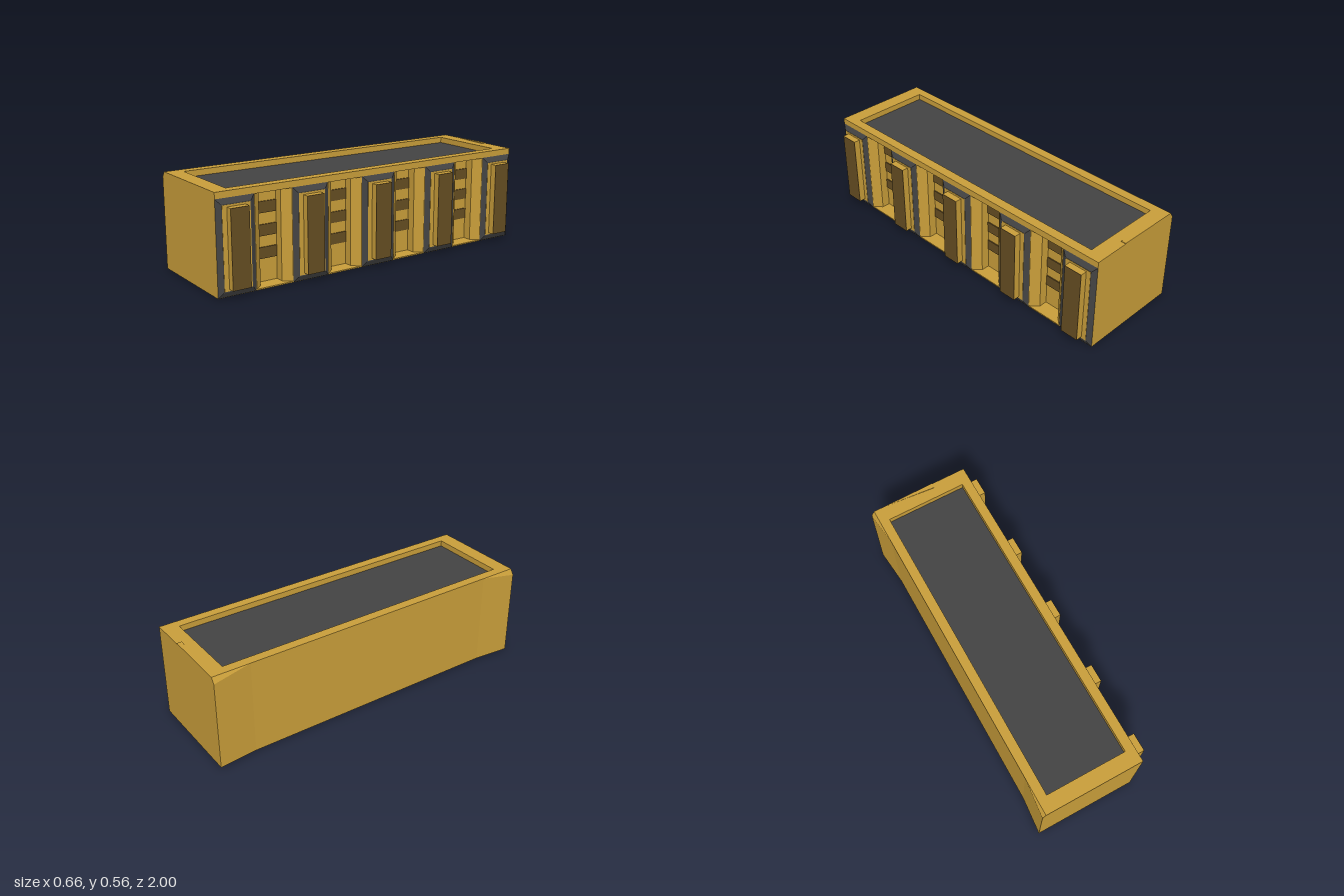
import * as THREE from 'three';
import { ConvexGeometry } from 'three/addons/geometries/ConvexGeometry.js';

const mat = (color) => new THREE.MeshStandardMaterial({ color, flatShading: true });

export function createModel() {
  const group = new THREE.Group();
  const gold = mat(0xc99e3a), brown = mat(0x654d22), dark = mat(0x434343), green = mat(0x3f9a20);

  const add = (name, geometry, material) => {
    const mesh = new THREE.Mesh(geometry, material);
    mesh.name = name;
    group.add(mesh);
    return mesh;
  };
  // box given by its limits on each axis
  const box = (name, material, [x0, x1], [y0, y1], [z0, z1]) =>
    add(name, new THREE.BoxGeometry(x1 - x0, y1 - y0, z1 - z0)
      .translate((x0 + x1) / 2, (y0 + y1) / 2, (z0 + z1) / 2), material);
  const hull = (name, material, points) =>
    add(name, new ConvexGeometry(points.map((p) => new THREE.Vector3(...p))), material);
  // extrude a plan (x, -z) upwards
  const slab = (name, material, shape, y0, y1) =>
    add(name, new THREE.ExtrudeGeometry(shape, { depth: y1 - y0, bevelEnabled: false })
      .rotateX(-Math.PI / 2).translate(0, y0, 0), material);

  const L = -0.31, R = 0.275;
  const postZ = [-0.89, -0.445, 0, 0.445, 0.89];
  const bayZ = [-0.6675, -0.2225, 0.2225, 0.6675];

  // body walls with chamfered bays along the right side
  const plan = [[L, -1], [R, -1]];
  for (const c of bayZ) {
    plan.push([R, c - 0.11], [R - 0.04, c - 0.065], [R - 0.09, c - 0.065],
      [R - 0.09, c + 0.065], [R - 0.04, c + 0.065], [R, c + 0.11]);
  }
  plan.push([R, 1], [L, 1]);
  slab('body', gold, new THREE.Shape(plan.map((p) => new THREE.Vector2(...p))), 0.012, 0.518);
  box('base', gold, [L, R], [0.005, 0.012], [-1, 1]);

  // raised rim around the sunken top
  const rim = new THREE.Shape([[L, -1], [R, -1], [R, 1], [L, 1]].map((p) => new THREE.Vector2(...p)));
  rim.holes.push(new THREE.Path(
    [[-0.255, -0.91], [-0.255, 0.91], [0.22, 0.91], [0.22, -0.91]].map((p) => new THREE.Vector2(...p))));
  slab('topRim', gold, rim, 0.518, 0.555);
  box('topInset', dark, [-0.255, 0.22], [0.51, 0.521], [-0.91, 0.91]);

  // flared corners on the left side
  for (const s of [-1, 1]) {
    hull('cornerFlare', gold, [
      [L, 0.005, s], [-0.33, 0.005, s], [L, 0.005, s * 0.78],
      [-0.33, 0.523, s], [L, 0.555, s], [L, 0.555, s * 0.78],
    ]);
  }

  // posts: bevelled dark frame, border and protruding panel
  for (const c of postZ) {
    const frame = [];
    for (const s of [-1, 1]) {
      frame.push([R, 0.006, c + s * 0.11], [R, 0.52, c + s * 0.11],
        [0.29, 0.035, c + s * 0.085], [0.29, 0.493, c + s * 0.085]);
    }
    hull('postFrame', dark, frame);
    box('postBorder', gold, [0.285, 0.2915], [0.04, 0.488], [c - 0.08, c + 0.08]);
    box('postPanel', gold, [0.285, 0.328], [0.05, 0.477], [c - 0.053, c + 0.053]);
    box('postPanelFace', brown, [0.328, 0.33], [0.05, 0.477], [c - 0.053, c + 0.053]);
  }

  // three horizontal slats at the back of each bay
  for (const c of bayZ) {
    for (const y of [0.17, 0.293, 0.417]) {
      box('baySlat', brown, [0.18, 0.191], [y - 0.031, y + 0.031], [c - 0.064, c + 0.064]);
    }
  }

  // thin sliver on the back edge of the top
  hull('topSliver', gold, [
    [-0.26, 0.555, -1], [0.065, 0.553, -1], [0.065, 0.559, -1],
    [0.065, 0.553, -0.97], [0.065, 0.559, -0.97],
  ]);

  // small plate with a pin underneath
  box('underPlate', green, [-0.06, 0.02], [0.003, 0.006], [-0.06, 0.06]);
  box('underPin', dark, [-0.025, -0.015], [0, 0.005], [-0.008, 0.008]);

  return group;
}
